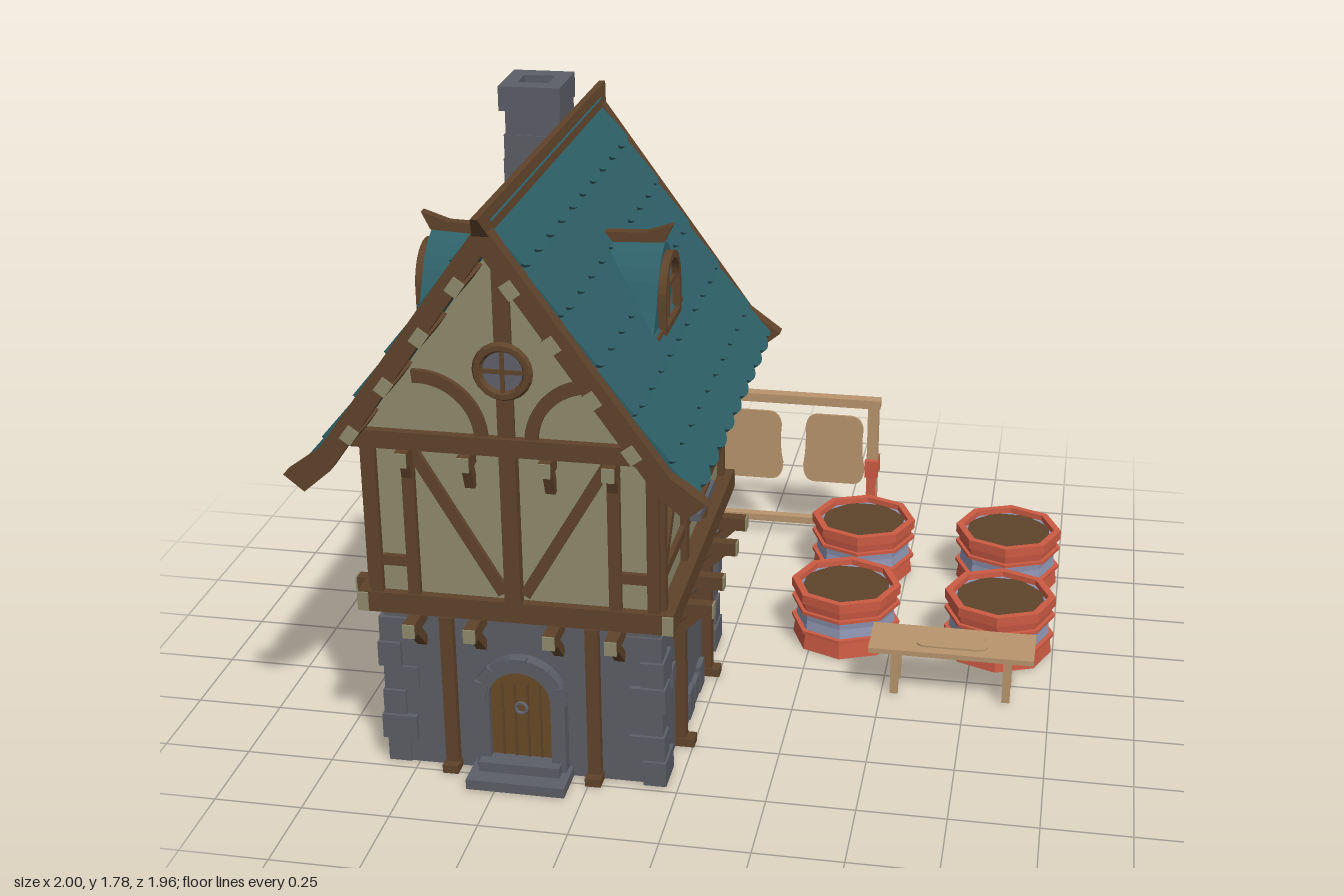
import * as THREE from 'three';

const mat = (name, color, side = THREE.FrontSide) => {
  const m = new THREE.MeshStandardMaterial({ color, side, flatShading: true });
  m.name = name;
  return m;
};
const M = {
  stone: mat('stone', 0x5c5e66), timber: mat('timber', 0x5f432a), plaster: mat('plaster', 0x8f8c6d),
  tile: mat('roofTile', 0x2e6068), door: mat('doorWood', 0x6a4a26), glass: mat('glass', 0x60616c),
  red: mat('redPaint', 0xcb5a43), blue: mat('bluePaint', 0x9096b4), tan: mat('paleWood', 0xb8946c),
  soil: mat('tubFilling', 0x5e442b),
};

function add(parent, name, geo, material, x = 0, y = 0, z = 0) {
  const m = new THREE.Mesh(geo, material);
  m.name = name;
  m.position.set(x, y, z);
  parent.add(m);
  return m;
}
const box = (p, name, m, w, h, d, x, y, z) => add(p, name, new THREE.BoxGeometry(w, h, d), m, x, y, z);
const poly = pts => new THREE.Shape(pts.map(([x, y]) => new THREE.Vector2(x, y)));
const extrude = (shape, depth) => new THREE.ExtrudeGeometry(shape, { depth, bevelEnabled: false, curveSegments: 8 });
const group = (parent, name, x = 0, y = 0, z = 0, ry = 0) => {
  const g = new THREE.Group();
  g.name = name;
  g.position.set(x, y, z);
  g.rotation.y = ry;
  parent.add(g);
  return g;
};
// Beam lying in an xy plane between two points
function bar(p, name, m, x1, y1, x2, y2, w, d, z) {
  const b = box(p, name, m, Math.hypot(x2 - x1, y2 - y1), w, d, (x1 + x2) / 2, (y1 + y2) / 2, z);
  b.rotation.z = Math.atan2(y2 - y1, x2 - x1);
  return b;
}
function arch(r, y0, top) {
  const s = new THREE.Shape();
  s.moveTo(-r, y0).lineTo(r, y0).lineTo(r, top - r).absarc(0, top - r, r, 0, Math.PI, false).lineTo(-r, y0);
  return s;
}
function archRing(r, y0, top, t, bottom = t) {
  const s = arch(r, y0, top);
  s.holes.push(arch(r - t, y0 + bottom, top - t));
  return s;
}
function archWindow(p, r, y0, top, z) {
  add(p, 'windowFrame', extrude(archRing(r, y0, top, 0.02), 0.03), M.timber, 0, 0, z);
  add(p, 'windowPane', extrude(arch(r - 0.015, y0 + 0.01, top - 0.015), 0.008), M.glass, 0, 0, z);
  box(p, 'windowBar', M.timber, 0.01, top - y0 - 0.03, 0.012, 0, (y0 + top) / 2, z + 0.012);
  box(p, 'windowBar', M.timber, 2 * r - 0.03, 0.01, 0.012, 0, (y0 + top) / 2 + 0.005, z + 0.012);
}
// Jutting joist with a pale end and a slanted brace below
function joist(p, x, y, z0, z1) {
  box(p, 'joist', M.timber, 0.034, 0.04, z1 - z0, x, y, (z0 + z1) / 2);
  box(p, 'joistEnd', M.plaster, 0.034, 0.04, 0.005, x, y, z1 + 0.002);
  const reach = z1 - z0 - 0.04;
  const b = box(p, 'joistBrace', M.timber, 0.028, 0.026, Math.hypot(reach, 0.075), x, y - 0.05, z0 + reach / 2);
  b.rotation.x = -Math.atan2(0.075, reach);
}

// Timber framing of one wall; half = half width, d = distance of the wall from the middle
function facade(house, name, half, d, angle, gable) {
  const g = group(house, name, 0, 0, 0, angle);
  const low = d - (gable ? 0.03 : 0);
  const posts = gable ? [0.28, 0.385] : [0.14, 0.445];
  for (const s of [-1, 1]) {
    box(g, 'lowerPost', M.timber, 0.037, 0.48, 0.05, s * 0.205, 0.24, low);
    box(g, 'postFoot', M.timber, 0.045, 0.025, 0.08, s * 0.205, 0.0125, low + 0.01);
    for (const x of [0.11, 0.28]) {
      joist(g, s * x, 0.48, low, low + 0.115);
      if (gable) joist(g, s * x, 0.98, d, d + 0.07);
    }
    for (const x of posts) box(g, 'wallPost', M.timber, 0.033, 0.48, 0.04, s * x, 0.79, d);
    if (gable) {
      bar(g, 'wallBrace', M.timber, s * 0.27, 0.99, s * 0.03, 0.58, 0.032, 0.03, d);
      box(g, 'wallRail', M.timber, 0.11, 0.03, 0.03, s * 0.335, 0.655, d);
      // Quarter-round braces and roof timbers in the gable
      const a = new THREE.Shape();
      a.absarc(0, 0, 0.185, 0, 1.65, false);
      a.absarc(0, 0, 0.15, 1.65, 0, true);
      const arc = add(g, 'curvedBrace', extrude(a, 0.02), M.timber, s * 0.235, 1.04, d + 0.015);
      if (s > 0) arc.rotation.y = Math.PI, arc.position.z += 0.02;
      for (const x of [0.07, 0.17, 0.27, 0.37]) {
        const q = group(g, 'purlin', s * x, 1.615 - 1.4 * x, 0);
        q.rotation.z = -s * 0.95;
        box(q, 'purlinBeam', M.timber, 0.045, 0.035, 0.16, 0, 0, 0.57);
        box(q, 'purlinEnd', M.plaster, 0.045, 0.035, 0.004, 0, 0, 0.652);
      }
      box(g, 'sillEnd', M.plaster, 0.03, 0.055, 0.006, s * 0.425, 0.53, 0.488);
    } else {
      bar(g, 'wallBrace', M.timber, s * 0.43, 0.67, s * 0.15, 0.98, 0.032, 0.03, d);
    }
  }
  if (gable) {
    box(g, 'centrePost', M.timber, 0.045, 1.0, 0.04, 0, 1.06, d + 0.012);
    box(g, 'gableBeam', M.timber, 0.86, 0.05, 0.06, 0, 1.025, d + 0.015);
    const ring = new THREE.TorusGeometry(0.068, 0.014, 6, 20);
    add(g, 'roundWindowFrame', ring, M.timber, 0, 1.24, d + 0.04);
    const pane = add(g, 'roundWindowPane', new THREE.CylinderGeometry(0.066, 0.066, 0.008, 20), M.glass, 0, 1.24, d + 0.036);
    pane.rotation.x = Math.PI / 2;
    box(g, 'windowBar', M.timber, 0.011, 0.13, 0.014, 0, 1.24, d + 0.04);
    box(g, 'windowBar', M.timber, 0.13, 0.011, 0.014, 0, 1.24, d + 0.04);
  } else {
    box(g, 'wallRail', M.timber, half * 2, 0.03, 0.03, 0, 0.655, d);
    archWindow(g, 0.093, 0.68, 0.865, d + 0.01);
    box(g, 'windowLedge', M.stone, 0.23, 0.024, 0.06, 0, 0.678, d + 0.02);
  }
  return g;
}

function rectRing(w, d, hw, hd, h) {
  const r = (a, b) => [[-a / 2, -b / 2], [a / 2, -b / 2], [a / 2, b / 2], [-a / 2, b / 2]];
  const s = poly(r(w, d));
  s.holes.push(poly(r(hw, hd)));
  return extrude(s, h).rotateX(-Math.PI / 2);
}

function buildRoof(house) {
  const roof = group(house, 'roof');
  const barge = [[0, 1.69], [0.465, 1.04], [0.56, 0.97], [0.505, 0.925], [0.43, 0.99], [0, 1.6]];
  const slab = [[0, 1.655], [0.455, 1.025], [0.515, 0.965], [0.5, 0.955], [0.43, 1.01], [0, 1.61]];
  // Lower edges of the tile courses
  const line = [[0, 1.675], [0.092, 1.556], [0.184, 1.428], [0.276, 1.301], [0.368, 1.174], [0.46, 1.052], [0.528, 0.968]];
  for (const s of [1, -1]) {
    const side = group(roof, 'roofSide', 0, 0, 0, s > 0 ? 0 : Math.PI);
    add(side, 'roofDeck', extrude(poly(slab), 1.22), M.tile, 0, 0, -0.61);
    for (const z of [-0.645, 0.6]) add(side, 'bargeBoard', extrude(poly(barge), 0.045), M.timber, 0, 0, z);
    for (let i = 0; i < 6; i++) {
      const [x0, y0] = line[i], [x1, y1] = line[i + 1];
      const len = Math.hypot(x1 - x0, y1 - y0), n = 10, w = 1.21 / n;
      const sh = new THREE.Shape();
      sh.moveTo(0.605, 0.015).lineTo(-0.605, 0.015).lineTo(-0.605, -len + 0.012);
      const off = i % 2 ? w / 2 : 0;
      if (off) sh.quadraticCurveTo(-0.575, -len - 0.012, -0.605 + off, -len + 0.012);
      for (let k = 0; k < (off ? n - 1 : n); k++) {
        const u = -0.605 + off + k * w;
        sh.bezierCurveTo(u + w * 0.25, -len - 0.016, u + w * 0.75, -len - 0.016, u + w, -len + 0.012);
      }
      if (off) sh.quadraticCurveTo(0.575, -len - 0.012, 0.605, -len + 0.012);
      // Shape x runs along the ridge, shape y up the slope
      const up = new THREE.Vector3(x0 - x1, y0 - y1, 0).normalize();
      const along = new THREE.Vector3(0, 0, -1);
      const out = new THREE.Vector3().crossVectors(along, up);
      const geo = extrude(sh, 0.014).rotateX(-0.06);
      geo.applyMatrix4(new THREE.Matrix4().makeBasis(along, up, out).setPosition(x0 - out.x * 0.012, y0 - out.y * 0.012, 0));
      add(side, 'tileCourse', geo, M.tile);
    }
    // Dormer with a bell-shaped roof, facing outward
    const dormer = group(side, 'dormer', 0, 0, 0, Math.PI / 2);
    const bell = new THREE.Shape();
    bell.moveTo(-0.235, 1.2).lineTo(0.235, 1.2).bezierCurveTo(0.1, 1.25, 0.14, 1.4, 0, 1.45).bezierCurveTo(-0.14, 1.4, -0.1, 1.25, -0.235, 1.2);
    add(dormer, 'dormerRoof', extrude(bell, 0.2), M.tile, 0, 0, 0.13);
    archWindow(dormer, 0.108, 1.21, 1.42, 0.322);
    box(dormer, 'dormerSill', M.timber, 0.34, 0.03, 0.04, 0, 1.215, 0.325);
    const log = add(dormer, 'dormerRidge', extrude(poly([[0.13, 1.44], [0.33, 1.45], [0.355, 1.5], [0.28, 1.475], [0.13, 1.47]]), 0.03), M.timber, 0.015, 0, 0);
    log.rotation.y = -Math.PI / 2;
  }
  // Ridge beam with slanted ends
  const ridge = extrude(poly([[-0.64, 1.645], [0.64, 1.645], [0.695, 1.71], [-0.695, 1.71]]), 0.046);
  const p = ridge.attributes.position;
  for (let i = 0; i < p.count; i++) if (p.getY(i) > 1.7) p.setZ(i, p.getZ(i) > 0.02 ? 0.032 : 0.014);
  ridge.computeVertexNormals();
  add(roof, 'ridgeBeam', ridge, M.timber, -0.023, 0, 0).rotation.y = -Math.PI / 2;
  roof.children[roof.children.length - 1].position.x = 0.023;
  // Hollow chimney of stacked courses
  const chimney = group(house, 'chimney', -0.12, 0, -0.405);
  for (let i = 0; i < 6; i++) {
    const grow = i === 5 ? 0.02 : (i % 2) * 0.008;
    const c = add(chimney, 'chimneyCourse', rectRing(0.16 + grow, 0.18 + grow, 0.09, 0.085, 0.072), M.stone, 0.006 * Math.sin(i * 2.3), 1.35 + i * 0.0717, 0);
    c.rotation.y = 0.03 * Math.sin(i * 1.7);
  }
}

function buildHouse(root) {
  const house = group(root, 'house', -0.44, 0, 0.285);
  add(house, 'stoneWalls', rectRing(0.78, 0.86, 0.7, 0.78, 0.5), M.stone);
  for (const sx of [-1, 1]) for (const sz of [-1, 1]) for (let i = 0; i < 6; i++) {
    const a = i % 2 ? 0.1 : 0.065, b = i % 2 ? 0.07 : 0.11, out = 0.012 + 0.006 * Math.sin(i * 2.1 + sx);
    box(house, 'cornerStone', M.stone, a, 0.074, b, sx * (0.39 + out - a / 2), 0.038 + i * 0.077, sz * (0.43 + out - b / 2));
  }
  for (const s of [-1, 1]) for (let i = 0; i < 4; i++) {
    box(house, 'footingStone', M.stone, 0.03, 0.085 - 0.02 * (i % 2), 0.07, s * 0.39, 0.04, -0.12 + i * 0.08);
    box(house, 'wallStone', M.stone, 0.02, 0.06, 0.045, s * 0.388, 0.2 + 0.06 * (i % 3), [-0.3, 0.27, 0.33, -0.25][i]);
  }
  box(house, 'sillBeam', M.timber, 0.88, 0.06, 0.97, 0, 0.53, 0);
  box(house, 'plasterWalls', M.plaster, 0.79, 0.5, 0.92, 0, 0.8, 0);
  add(house, 'gableWalls', extrude(poly([[-0.4, 1], [0.4, 1], [0.4, 1.04], [0, 1.6], [-0.4, 1.04]]), 0.96), M.plaster, 0, 0, -0.48);
  const front = facade(house, 'frontWall', 0.4, 0.46, 0, true);
  facade(house, 'backWall', 0.4, 0.46, Math.PI, true);
  facade(house, 'leftWall', 0.46, 0.395, Math.PI / 2, false);
  facade(house, 'rightWall', 0.46, 0.395, -Math.PI / 2, false);
  // Doorway
  add(front, 'doorArch', extrude(archRing(0.128, 0, 0.375, 0.04, 0.05), 0.05), M.stone, 0, 0, 0.42);
  for (let i = 0; i < 7; i++) {
    const a = (i + 0.5) * Math.PI / 7;
    const k = box(front, 'archStone', M.stone, 0.04, 0.05, 0.02, 0.113 * Math.cos(a), 0.247 + 0.113 * Math.sin(a), 0.466);
    k.rotation.z = a;
  }
  add(front, 'door', extrude(arch(0.09, 0.05, 0.336), 0.02), M.door, 0, 0, 0.425);
  for (const x of [-0.054, -0.018, 0.018, 0.054]) box(front, 'plankGap', M.timber, 0.006, 0.23, 0.006, x, 0.175, 0.446);
  add(front, 'doorRing', new THREE.TorusGeometry(0.016, 0.005, 6, 12), M.glass, 0, 0.215, 0.45);
  box(front, 'step', M.stone, 0.28, 0.03, 0.13, 0, 0.015, 0.485);
  box(front, 'step', M.stone, 0.23, 0.03, 0.08, 0, 0.045, 0.46);
  buildRoof(house);
}

function buildTub(root, x, z) {
  const tub = group(root, 'tub', x, 0, z);
  const lathe = (name, m, pts, turn = 0) => add(tub, name, new THREE.LatheGeometry(pts.map(q => new THREE.Vector2(...q)), 8), m).rotation.y = turn;
  lathe('tubBase', M.red, [[0, 0], [0.165, 0], [0.158, 0.055], [0.17, 0.055], [0.17, 0.065], [0.15, 0.065]]);
  lathe('tubBand', M.blue, [[0.156, 0.06], [0.152, 0.095], [0.156, 0.13]]);
  lathe('tubTop', M.red, [[0.15, 0.122], [0.17, 0.122], [0.17, 0.132], [0.158, 0.132], [0.162, 0.16], [0.171, 0.16], [0.171, 0.19], [0.148, 0.19], [0.146, 0.155]]);
  lathe('tubLining', M.blue, [[0.16, 0.172], [0.138, 0.172], [0.138, 0.15]]);
  lathe('tubContents', M.soil, [[0.143, 0.173], [0, 0.174]], Math.PI / 8);
}

function hide(w, h) {
  const s = new THREE.Shape();
  const a = w / 2, b = h / 2;
  s.moveTo(-a * 0.6, -b).lineTo(a * 0.6, -b).quadraticCurveTo(a, -b, a, -b * 0.5).quadraticCurveTo(a * 0.86, 0, a * 0.94, b * 0.6);
  s.quadraticCurveTo(a * 0.9, b, a * 0.5, b).lineTo(-a * 0.5, b).quadraticCurveTo(-a * 0.9, b, -a * 0.94, b * 0.6);
  s.quadraticCurveTo(-a * 0.9, 0, -a, -b * 0.5).quadraticCurveTo(-a, -b, -a * 0.6, -b);
  return extrude(s, 0.008);
}

function buildRack(root) {
  const rack = group(root, 'dryingRack', -0.25, 0, -0.935);
  box(rack, 'topRail', M.tan, 1.25, 0.03, 0.04, 0, 0.505, 0);
  box(rack, 'bottomRail', M.tan, 1.22, 0.024, 0.03, 0, 0.055, 0);
  box(rack, 'middlePost', M.tan, 0.035, 0.5, 0.034, -0.015, 0.255, 0);
  for (const s of [-1, 1]) {
    box(rack, 'endPost', M.tan, 0.036, 0.52, 0.036, s * 0.602, 0.26, 0);
    for (const t of [-1, 1]) {
      box(rack, 'redClamp', M.red, 0.045, 0.06, 0.02, s * 0.602, 0.275, t * 0.028);
      const leg = box(rack, 'splayedLeg', M.red, 0.03, 0.3, 0.01, s * 0.602, 0.15, t * 0.037);
      leg.rotation.x = -t * 0.05;
    }
    for (const x of [0.19, 0.47]) add(rack, 'hide', hide(0.21, 0.25), M.tan, s * x, 0.327, -0.004);
  }
}

function buildBench(root) {
  const bench = group(root, 'bench', 0.705, 0, 0.052);
  box(bench, 'benchTop', M.tan, 0.49, 0.016, 0.165, 0, 0.155, 0);
  add(bench, 'benchHide', hide(0.21, 0.1).rotateX(-Math.PI / 2), M.tan, 0, 0.16, 0);
  for (const s of [-1, 1]) {
    for (const t of [-1, 1]) box(bench, 'benchLeg', M.tan, 0.024, 0.148, 0.02, s * 0.167, 0.074, t * 0.045);
    box(bench, 'benchCrossbar', M.tan, 0.02, 0.018, 0.11, s * 0.167, 0.115, 0);
  }
}

export function createModel() {
  const root = new THREE.Group();
  root.name = 'tannery';
  buildHouse(root);
  for (const x of [0.35, 0.83]) for (const z of [-0.71, -0.235]) buildTub(root, x, z);
  buildRack(root);
  buildBench(root);
  return root;
}
